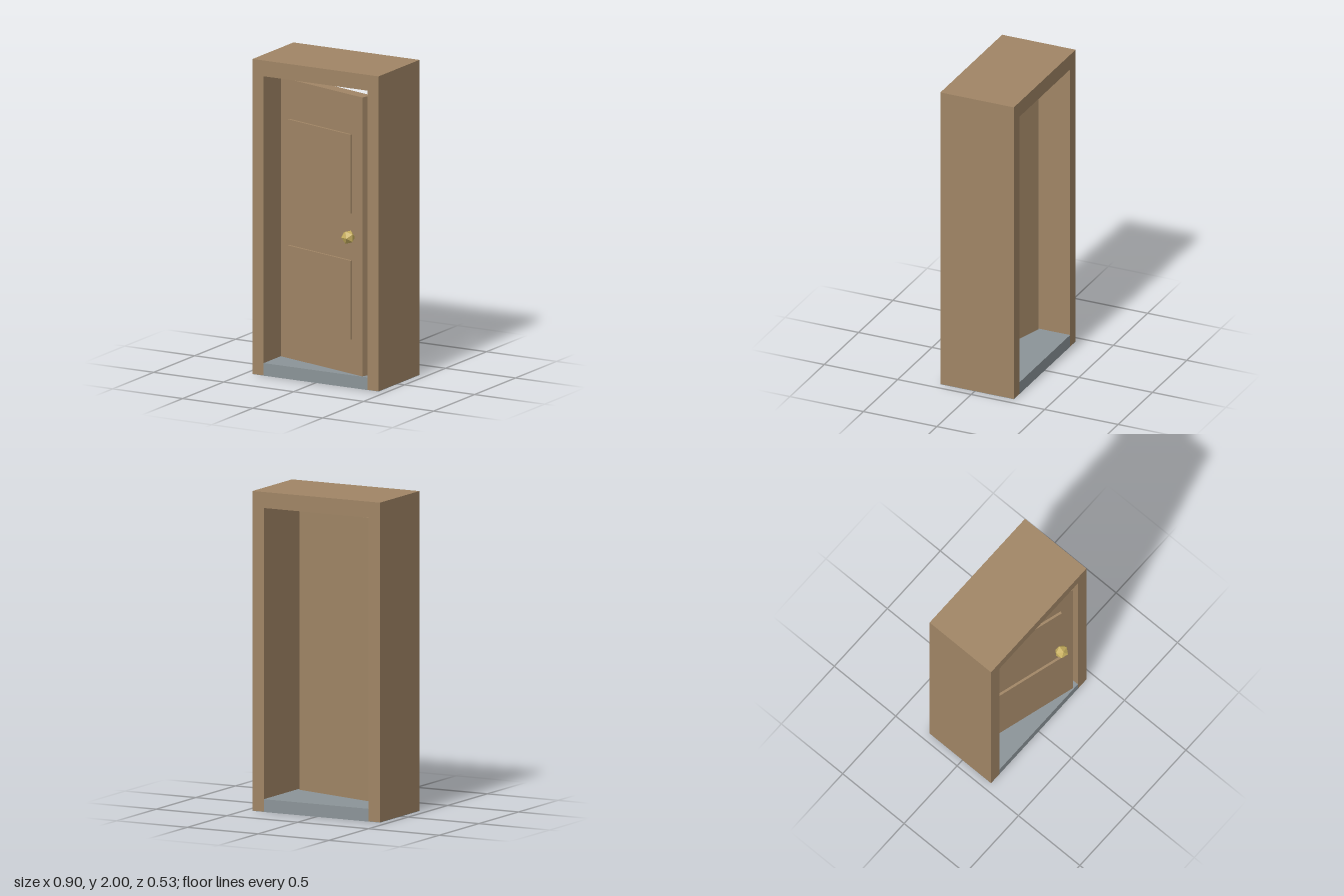
import * as THREE from 'three';

export function createModel() {
  const model = new THREE.Group();
  model.name = 'doorway';

  const mat = (name, color) => {
    const m = new THREE.MeshStandardMaterial({ color });
    m.name = name;
    return m;
  };
  const wood = mat('wood', 0xa08565);
  const stone = mat('greyThreshold', 0x8b9498);
  const brass = mat('brass', 0xc8b060);
  brass.flatShading = true;

  const box = (parent, name, material, w, h, d, x, y, z) => {
    const mesh = new THREE.Mesh(new THREE.BoxGeometry(w, h, d), material);
    mesh.position.set(x, y, z);
    mesh.name = name;
    parent.add(mesh);
    return mesh;
  };

  const depth = 0.5, zMid = -0.017, base = 0.002;

  // Frame: two jambs and a header between them
  for (const [side, name] of [[1, 'leftJamb'], [-1, 'rightJamb']]) {
    box(model, name, wood, 0.08, 2 - base, depth, side * 0.41, 1 + base / 2, zMid);
  }
  box(model, 'header', wood, 0.74, 0.1, depth, 0, 1.95, zMid);

  // Threshold with a thin sole under the whole frame
  box(model, 'threshold', stone, 0.74, 0.08 - base, depth, 0, 0.04 + base / 2, zMid);
  box(model, 'sole', stone, 0.9, base, depth, 0, base / 2, zMid);

  // Door, hinged at one jamb and slightly ajar towards the front
  const door = new THREE.Group();
  door.name = 'door';
  door.position.set(-0.37, 0, zMid);
  door.rotation.y = -0.28;
  model.add(door);
  box(door, 'doorLeaf', wood, 0.74, 1.77, 0.08, 0.37, 0.965, 0);

  // Raised panels on the front face
  for (const [name, y] of [['lowerPanel', 0.55], ['upperPanel', 1.35]]) {
    box(door, name, wood, 0.56, 0.5, 0.02, 0.37, y, 0.045);
  }

  // Faceted knob
  const knob = new THREE.Mesh(new THREE.IcosahedronGeometry(0.045, 0), brass);
  knob.name = 'knob';
  knob.position.set(0.64, 0.95, 0.065);
  knob.rotation.y = Math.PI / 2;
  door.add(knob);

  return model;
}
